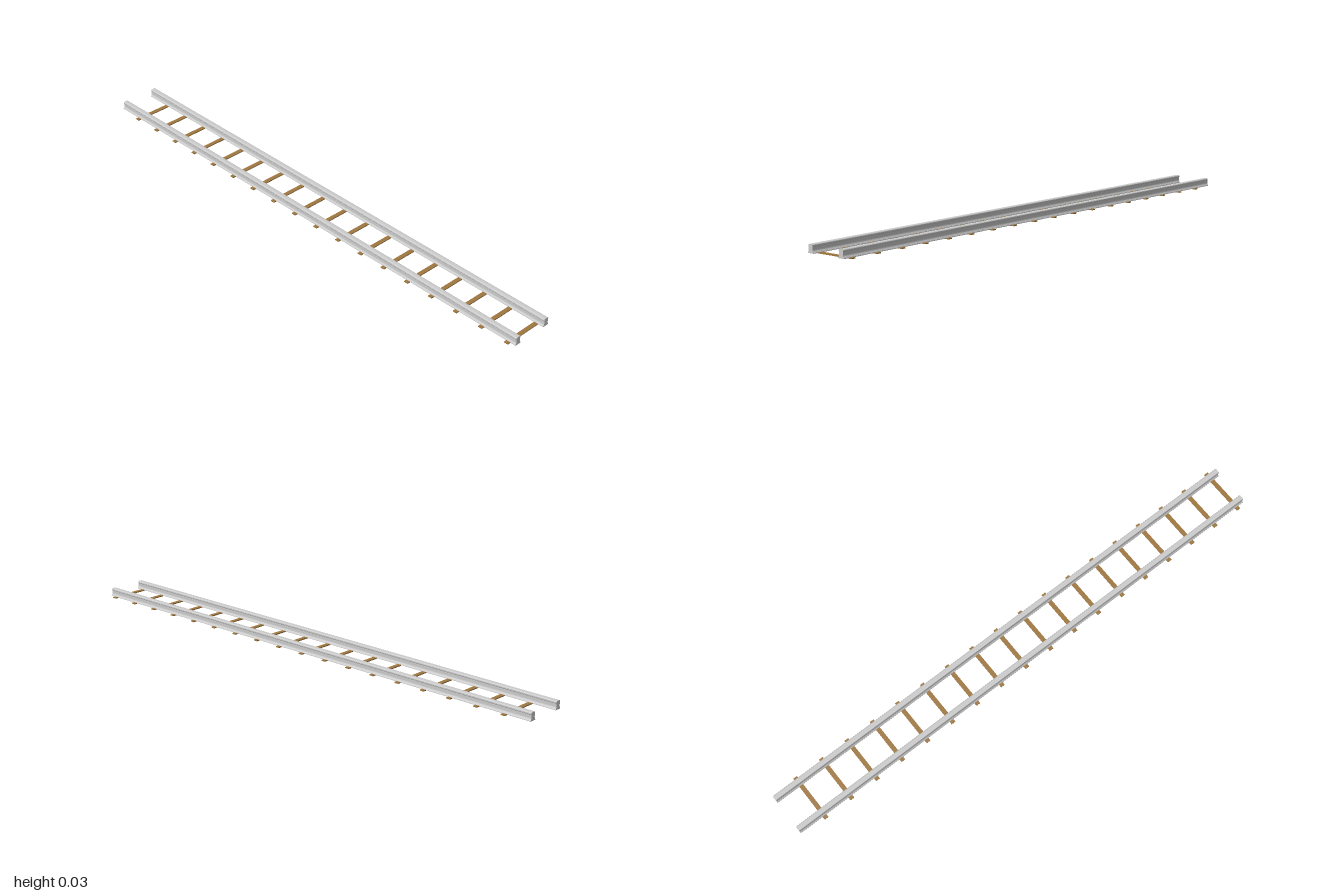
import * as THREE from 'three';

const LENGTH = 2, GAUGE = 0.068;

// Half of the rail cross-section, from the foot up to the rounded head: [half width, height]
const HALF_PROFILE = [
  [0.0125, 0.002], [0.0125, 0.004], [0.009, 0.01], [0.0085, 0.013], [0.0085, 0.023],
  [0.0098, 0.025], [0.0098, 0.029], [0.0085, 0.031], [0.005, 0.032],
];

function railGeometry() {
  const right = HALF_PROFILE.map(([x, y]) => new THREE.Vector2(x, y));
  const left = HALF_PROFILE.map(([x, y]) => new THREE.Vector2(-x, y)).reverse();
  const shape = new THREE.Shape([...right, ...left]);
  const geometry = new THREE.ExtrudeGeometry(shape, { depth: LENGTH, bevelEnabled: false });
  return geometry.translate(0, 0, -LENGTH / 2);
}

export function createModel() {
  const track = new THREE.Group();
  track.name = 'railwayTrack';
  const steel = new THREE.MeshStandardMaterial({ color: 0xcccccc, flatShading: true });
  const wood = new THREE.MeshStandardMaterial({ color: 0xa07840, flatShading: true });

  // Two parallel rails
  const railShape = railGeometry();
  for (const [side, name] of [[1, 'leftRail'], [-1, 'rightRail']]) {
    const rail = new THREE.Mesh(railShape, steel);
    rail.name = name;
    rail.position.x = side * GAUGE;
    track.add(rail);
  }

  // Thin wooden sleepers, evenly spaced under the rails
  const sleepers = new THREE.Group();
  sleepers.name = 'sleepers';
  const sleeperShape = new THREE.BoxGeometry(0.184, 0.0035, 0.016);
  for (let i = 0; i < 18; i++) {
    const sleeper = new THREE.Mesh(sleeperShape, wood);
    sleeper.name = `sleeper${i + 1}`;
    sleeper.position.set(0, 0.00175, -0.9 + i * 0.11);
    sleepers.add(sleeper);
  }
  track.add(sleepers);
  return track;
}
